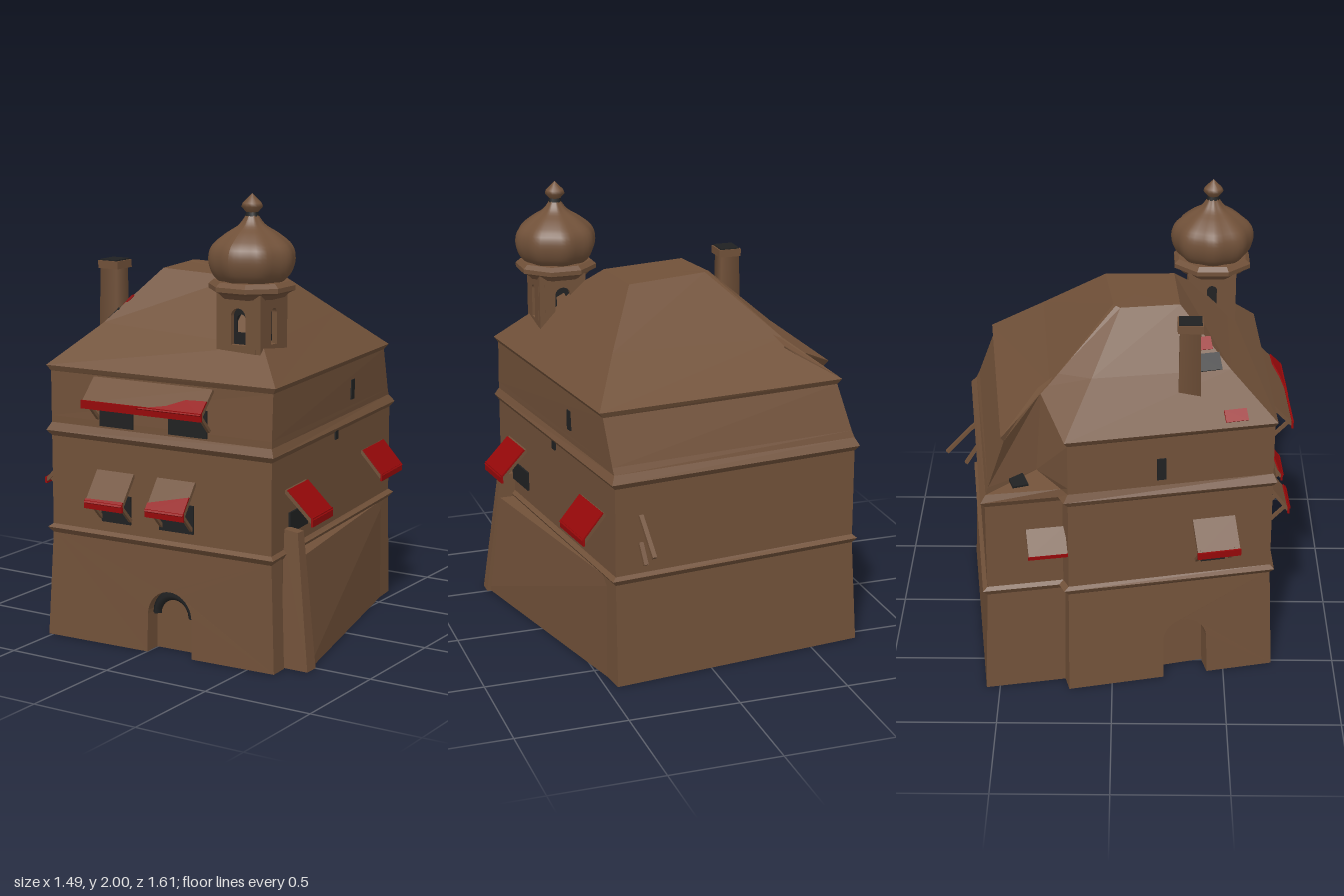
import * as THREE from 'three';
import { ConvexGeometry } from 'three/addons/geometries/ConvexGeometry.js';

const plaster = new THREE.MeshStandardMaterial({ color: 0x715139, side: THREE.DoubleSide });
const red = new THREE.MeshStandardMaterial({ color: 0x960809 });
const dark = new THREE.MeshStandardMaterial({ color: 0x202122 });
plaster.name = 'brown plaster';
red.name = 'red cloth';
dark.name = 'dark opening';

export function createModel() {
  const model = new THREE.Group();

  function add(name, geometry, material, parent = model) {
    const mesh = new THREE.Mesh(geometry, material);
    mesh.name = name;
    parent.add(mesh);
    return mesh;
  }
  function box(name, w, h, d, x, y, z, material, parent = model) {
    const mesh = add(name, new THREE.BoxGeometry(w, h, d), material, parent);
    mesh.position.set(x, y, z);
    return mesh;
  }

  // Faceted skin over rings of [x, y, z] corners, closed at both ends
  function loft(rings) {
    const pos = [], n = rings[0].length;
    const tri = (...pts) => pts.forEach(p => pos.push(...p));
    const mid = r => [0, 1, 2].map(k => r.reduce((s, p) => s + p[k], 0) / n);
    const last = rings[rings.length - 1], low = mid(rings[0]), high = mid(last);
    for (let i = 0; i < n; i++) {
      const j = (i + 1) % n;
      for (let k = 0; k + 1 < rings.length; k++) {
        const a = rings[k], b = rings[k + 1];
        tri(a[i], a[j], b[j]);
        tri(a[i], b[j], b[i]);
      }
      tri(low, rings[0][j], rings[0][i]);
      tri(high, last[i], last[j]);
    }
    const g = new THREE.BufferGeometry();
    g.setAttribute('position', new THREE.Float32BufferAttribute(pos, 3));
    g.computeVertexNormals();
    return g;
  }
  const hull = pts => new ConvexGeometry(pts.map(p => new THREE.Vector3(...p)));

  // Wall slab between plan points, pierced by an arch; the top edge may lean
  function archWall(bA, bB, tA, tB, y0, y1, depth, at, half, sill, spring) {
    const len = Math.hypot(bB[0] - bA[0], bB[1] - bA[1]);
    const s = new THREE.Shape();
    const c = at * len;
    if (sill > y0) {
      s.moveTo(0, y0).lineTo(len, y0).lineTo(len, y1).lineTo(0, y1).closePath();
      const hole = new THREE.Path();
      hole.moveTo(c - half, sill).lineTo(c + half, sill).lineTo(c + half, spring);
      hole.absarc(c, spring, half, 0, Math.PI, false);
      hole.closePath();
      s.holes.push(hole);
    } else {
      s.moveTo(0, y0).lineTo(c - half, y0).lineTo(c - half, spring);
      s.absarc(c, spring, half, Math.PI, 0, true);
      s.lineTo(c + half, y0).lineTo(len, y0).lineTo(len, y1).lineTo(0, y1).closePath();
    }
    const g = new THREE.ExtrudeGeometry(s, { depth, bevelEnabled: false, curveSegments: 10 });
    const p = g.attributes.position, nx = -(bB[1] - bA[1]) / len, nz = (bB[0] - bA[0]) / len;
    const mix = THREE.MathUtils.lerp;
    for (let i = 0; i < p.count; i++) {
      const u = p.getX(i) / len, y = p.getY(i), v = (y - y0) / (y1 - y0), d = depth - p.getZ(i);
      const along = k => mix(mix(bA[k], bB[k], u), mix(tA[k], tB[k], u), v);
      p.setXYZ(i, along(0) - nx * d, y, along(1) - nz * d);
    }
    g.computeVertexNormals();
    return g;
  }

  // Ground floor: inner block, front and side walls with arched doorways;
  // the -x wall steps inward near the back corner
  const base = [[-0.52, 0.72], [0.63, 0.67], [0.45, -0.69], [-0.73, -0.56], [-0.66, -0.22], [-0.74, -0.19]];
  const plan = [[-0.5, 0.7], [0.61, 0.66], [0.45, -0.67], [-0.705, -0.545], [-0.64, -0.215], [-0.7, -0.19]];
  const inset = [[-0.43, 0.63], [0.61, 0.59], [0.45, -0.69], [-0.73, -0.56], [-0.66, -0.22], [-0.655, -0.17]];
  const insetTop = [[-0.42, 0.62], [0.6, 0.59], [0.45, -0.67], [-0.705, -0.545], [-0.64, -0.215], [-0.63, -0.17]];
  const level = (pts, y, k = 1) => pts.map(([x, z]) => [x + Math.sign(x) * (k - 1), y, z + Math.sign(z) * (k - 1)]);
  add('groundFloorCore', loft([level(inset, 0), level(insetTop, 0.48)]), plaster);
  add('frontDoorWall', archWall(base[0], base[1], plan[0], plan[1], 0, 0.48, 0.09, 0.55, 0.112, 0, 0.17), plaster);
  add('sideDoorWall', archWall(base[5], base[0], plan[5], plan[0], 0, 0.48, 0.09, 0.57, 0.1, 0, 0.18), plaster);

  // Dark lining under the crown of the front arch
  const lining = add('frontArchLining', new THREE.TorusGeometry(0.092, 0.022, 4, 12, Math.PI), dark);
  lining.position.set(0.112, 0.168, 0.645);

  // Sloping thickening of the +x wall and the narrow pier at its front end
  add('buttress', hull([
    [0.44, 0, -0.68], [0.58, 0, 0.56], [0.73, 0, 0.56],
    [0.44, 0.47, -0.67], [0.58, 0.48, 0.53], [0.672, 0.48, 0.53],
  ]), plaster);
  add('buttressPier', hull([
    [0.58, 0, 0.5], [0.58, 0, 0.57], [0.735, 0, 0.5], [0.735, 0, 0.57],
    [0.58, 0.6, 0.48], [0.58, 0.6, 0.53], [0.66, 0.59, 0.48], [0.66, 0.59, 0.53],
  ]), plaster);

  // Upper floors with string courses, then the hipped roof with a cut corner over a ledge
  const upper = [[-0.5, 0.7], [0.61, 0.66], [0.45, -0.66], [-0.705, -0.54], [-0.65, -0.22], [-0.7, -0.19]];
  const ledge = [[-0.5, 0.7], [0.61, 0.66], [0.453, -0.645], [-0.695, -0.53], [-0.53, -0.33], [-0.7, -0.19]];
  const eave = [[-0.5, 1.2, 0.7], [0.61, 1.2, 0.65], [0.47, 1.2, -0.57], [-0.65, 1.2, -0.46], [-0.45, 1.33, -0.31], [-0.7, 1.2, -0.19]];
  const lip = eave.map(([x, y, z], i) => [x + Math.sign(x) * (i === 4 ? 0 : 0.018), y + 0.025, z + Math.sign(z) * 0.012]);
  const mid = [[-0.35, 1.4, 0.51], [0.48, 1.37, 0.52], [0.35, 1.405, -0.33], [-0.46, 1.38, -0.27], [-0.41, 1.405, -0.24], [-0.47, 1.41, -0.09]];
  const top = [[-0.18, 1.63, 0.29], [0.2, 1.615, 0.27], [0.18, 1.62, -0.04], [-0.19, 1.635, 0.0], [-0.21, 1.635, 0.01], [-0.22, 1.63, 0.03]];
  add('upperWallsAndRoof', loft([
    level(plan, 0.47), level(plan, 0.495, 1.018), level(plan, 0.51),
    level(plan, 0.91), level(plan, 0.935, 1.018), level(upper, 0.97), level(ledge, 1.0),
    eave, lip, mid, top,
  ]), plaster);

  // A group standing on a wall: local x runs along it, local z points outward
  const walls = {
    front: [plan[0], plan[1]], right: [plan[1], plan[2]], back: [plan[2], plan[3]],
    corner: [plan[3], plan[4]], left: [plan[5], plan[0]],
  };
  function onWall(side, t, name) {
    const [a, b] = walls[side], g = new THREE.Group();
    g.name = name;
    g.position.set(a[0] + (b[0] - a[0]) * t, 0, a[1] + (b[1] - a[1]) * t);
    g.rotation.y = Math.atan2(a[1] - b[1], b[0] - a[0]);
    model.add(g);
    return g;
  }

  // Sloped awning with a red front lip; cover gives the red cloth on top as
  // [x, distance up from the lip] points
  function awning(side, t, w, yTop, yBot, out, lipHeight, cover, struts) {
    const g = onWall(side, t, 'awning'), tilt = new THREE.Group();
    const len = Math.hypot(out, yTop - yBot);
    tilt.position.set(0, yTop, 0);
    tilt.rotation.x = Math.atan2(yTop - yBot, out);
    g.add(tilt);
    box('awningTop', w, 0.016, len, 0, 0, len / 2, plaster, tilt);
    box('awningLip', w + 0.004, lipHeight, 0.009, 0, yBot, out + 0.002, red, g);
    if (cover) {
      const shape = new THREE.Shape(cover.map(p => new THREE.Vector2(...p)));
      const cloth = new THREE.ExtrudeGeometry(shape, { depth: 0.008, bevelEnabled: false });
      add('awningCloth', cloth.rotateX(-Math.PI / 2).translate(0, 0.007, len), red, tilt);
    }
    if (!struts) return;
    for (const s of [-1, 1]) {
      const strut = box('awningStrut', 0.014, 0.014, out * 1.3, s * (w / 2 - 0.02), yBot - 0.03, out * 0.5, plaster, g);
      strut.rotation.x = -0.8;
    }
  }
  const strip = (w, a, b) => [[-w / 2, 0], [w / 2, 0], [w / 2, b], [-w / 2, a]];
  function windowPlate(side, t, w, y0, y1) {
    box('windowPane', w, y1 - y0, 0.009, 0, (y0 + y1) / 2, 0.004, dark, onWall(side, t, 'window'));
  }

  // Front: one wide awning above two small ones
  awning('front', 0.477, 0.6, 1.19, 1.09, 0.1, 0.036, [[-0.02, 0], [0.3, 0], [0.3, 0.075], [0.2, 0.07], [0.12, 0.03]], true);
  windowPlate('front', 0.31, 0.17, 0.98, 1.1);
  windowPlate('front', 0.635, 0.19, 0.98, 1.1);
  awning('front', 0.303, 0.19, 0.78, 0.65, 0.1, 0.036, strip(0.19, 0.02, 0.025), true);
  awning('front', 0.582, 0.19, 0.78, 0.65, 0.1, 0.036, strip(0.19, 0.04, 0.09), true);
  windowPlate('front', 0.305, 0.15, 0.555, 0.68);
  windowPlate('front', 0.582, 0.17, 0.555, 0.68);

  // The +x wall: two red awnings and small slits
  awning('right', 0.178, 0.21, 0.765, 0.64, 0.125, 0.04, strip(0.21, 0.17, 0.17), false);
  awning('right', 0.83, 0.25, 0.765, 0.65, 0.1, 0.034, strip(0.25, 0.15, 0.15), false);
  windowPlate('right', 0.2, 0.19, 0.57, 0.66);
  windowPlate('right', 0.645, 0.035, 1.03, 1.12);
  windowPlate('right', 0.51, 0.03, 0.88, 0.92);

  // The -x wall, its recessed end and the opening in the cut corner
  awning('left', 0.71, 0.19, 0.78, 0.66, 0.11, 0.03, null, true);
  awning('corner', 0.77, 0.17, 0.78, 0.68, 0.075, 0.016, null, false);
  windowPlate('left', 0.71, 0.11, 0.57, 0.66);
  windowPlate('left', 0.45, 0.04, 1.0, 1.1);
  box('cornerOpening', 0.11, 0.009, 0.07, -0.615, 1.0, -0.41, dark).rotation.set(0, 0.35, 0.15);

  // Back: a pair of thin bracket rods
  const bracket = onWall('back', 0.1, 'backBracket');
  for (const [y, z, l, a] of [[0.705, 0.075, 0.2, 0.8], [0.61, 0.03, 0.1, 1.0]]) {
    box('bracketRod', 0.02, 0.016, l, 0, y, z, plaster, bracket).rotation.x = a;
  }

  // Chimney
  const chimney = add('chimney', new THREE.CylinderGeometry(0.062, 0.068, 0.34, 4, 1).rotateY(Math.PI / 4), plaster);
  chimney.position.set(-0.42, 1.46, 0.33);
  box('chimneyCap', 0.105, 0.035, 0.11, -0.415, 1.637, 0.33, plaster);
  box('chimneyMouth', 0.09, 0.008, 0.1, -0.415, 1.656, 0.33, dark);

  // Small patches on the roof beside the chimney
  const patch = (w, d, x, y, z, m) => {
    box('roofPatch', w, 0.009, d, x, y, z, m).rotation.set(0, 0.25, 0.8);
  };
  patch(0.08, 0.105, -0.343, 1.431, 0.415, dark);
  patch(0.06, 0.085, -0.288, 1.493, 0.385, red);
  patch(0.055, 0.1, -0.518, 1.262, 0.53, red);

  // Belfry: four arched walls with dark linings and corner posts
  const tower = new THREE.Group();
  tower.name = 'belfry';
  tower.position.set(0.378, 0, 0.445);
  model.add(tower);
  for (let i = 0; i < 4; i++) {
    const face = new THREE.Group(), open = i % 2 === 0, w = 0.085, d = 0.11;
    face.name = 'belfrySide';
    face.rotation.y = i * Math.PI / 2;
    tower.add(face);
    const a = [-w, d], b = [w, d], a2 = [-0.06, 0.083], b2 = [0.06, 0.083];
    add('belfryWall', archWall(a, b, a, b, 1.25, 1.6, 0.025, 0.5, open ? 0.036 : 0.023, 1.37, open ? 1.49 : 1.5), plaster, face);
    if (open) add('belfryLining', archWall(a2, b2, a2, b2, 1.3, 1.58, 0.009, 0.5, 0.022, 1.42, 1.475), dark, face);
    else box('belfryLining', 0.09, 0.26, 0.009, 0, 1.44, 0.078, dark, face);
    box('belfryPost', 0.036, 0.35, 0.036, 0.091, 1.425, 0.091, plaster, face);
  }
  const ring = (pts, n) => new THREE.LatheGeometry(pts.map(p => new THREE.Vector2(...p)), n);
  const cornice = add('belfryCornice', ring([[0, 1.565], [0.14, 1.565], [0.16, 1.585], [0.186, 1.597], [0.186, 1.617], [0.165, 1.635], [0, 1.645]], 8).rotateY(Math.PI / 8).toNonIndexed(), plaster, tower);
  cornice.geometry.computeVertexNormals();

  // Ribbed onion dome and finial
  const curve = new THREE.SplineCurve([[0.125, 1.62], [0.168, 1.66], [0.188, 1.72], [0.175, 1.78], [0.118, 1.83], [0.062, 1.865], [0.033, 1.9], [0.024, 1.92]].map(p => new THREE.Vector2(...p)));
  const dome = new THREE.LatheGeometry(curve.getPoints(24), 48);
  const dp = dome.attributes.position;
  for (let i = 0; i < dp.count; i++) {
    const f = 1 - 0.06 * (1 - Math.cos(8 * Math.atan2(dp.getX(i), dp.getZ(i)))) / 2;
    dp.setXYZ(i, dp.getX(i) * f, dp.getY(i), dp.getZ(i) * f);
  }
  dome.computeVertexNormals();
  add('onionDome', dome, plaster, tower);
  add('finialNeck', new THREE.CylinderGeometry(0.026, 0.03, 0.02, 10).translate(0, 1.915, 0), dark, tower);
  add('finial', ring([[0.02, 1.915], [0.046, 1.945], [0.04, 1.96], [0.015, 1.985], [0, 2.0]], 12), plaster, tower);

  return model;
}
